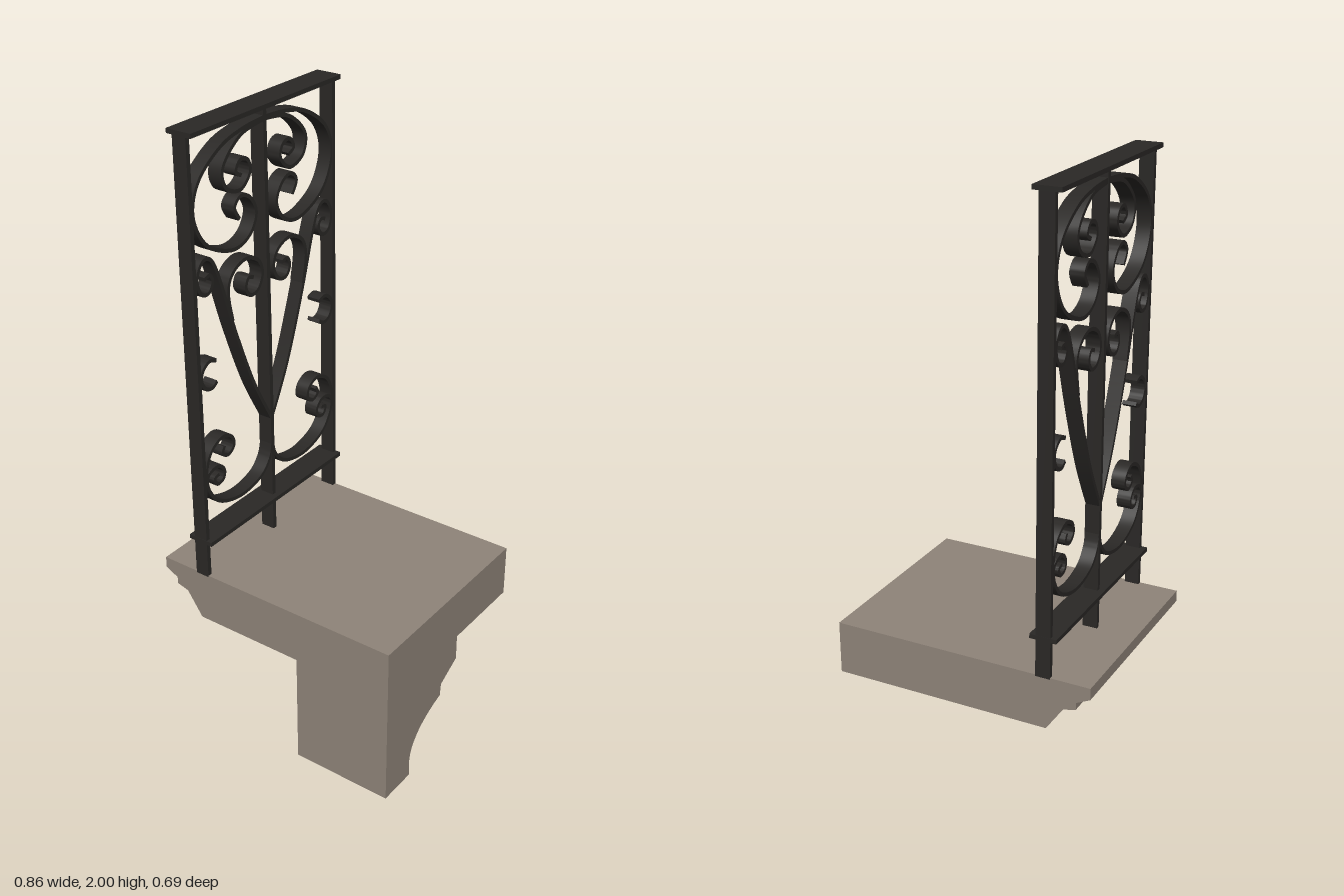
import * as THREE from 'three';
import { toCreasedNormals } from 'three/addons/utils/BufferGeometryUtils.js';

const stone = new THREE.MeshStandardMaterial({ color: 0x8f8479 });
const iron = new THREE.MeshStandardMaterial({ color: 0x2a2826 });
const RAIL_X = -0.278; // plane of the railing

const toVectors = (points) => points.map(([a, b]) => new THREE.Vector2(a, b));

function extrude(shape, depth) {
  const geometry = new THREE.ExtrudeGeometry(shape, { depth, bevelEnabled: false, curveSegments: 10 });
  return geometry.translate(0, 0, -depth / 2);
}

function addMesh(parent, name, geometry, material, x = 0, y = 0, z = 0) {
  const mesh = new THREE.Mesh(geometry, material);
  mesh.name = name;
  mesh.position.set(x, y, z);
  parent.add(mesh);
  return mesh;
}

// Flat iron strip bent along a smooth curve; points are [distance from centre bar, height]
function stripGeometry(points, side) {
  const half = 0.006;
  const curve = new THREE.SplineCurve(toVectors(points.map(([a, y]) => [a * side, y])));
  const count = points.length * 6;
  const outer = [], inner = [];
  for (let i = 0; i <= count; i++) {
    const p = curve.getPoint(i / count);
    const t = curve.getTangent(i / count);
    outer.push(new THREE.Vector2(p.x - t.y * half, p.y + t.x * half));
    inner.unshift(new THREE.Vector2(p.x + t.y * half, p.y - t.x * half));
  }
  const geometry = extrude(new THREE.Shape([...outer, ...inner]), 0.046);
  return toCreasedNormals(geometry.rotateY(Math.PI / 2), 0.7);
}

const scrolls = {
  largeUpperScroll: [[0, 1.955], [0.1, 1.947], [0.2, 1.92], [0.295, 1.85], [0.325, 1.755], [0.275, 1.655],
    [0.165, 1.603], [0.085, 1.62], [0.048, 1.68], [0.074, 1.735], [0.117, 1.753], [0.146, 1.725], [0.125, 1.685]],
  innerUpperScroll: [[0, 1.95], [0.11, 1.93], [0.19, 1.86], [0.18, 1.795], [0.117, 1.772], [0.072, 1.81],
    [0.08, 1.85], [0.115, 1.86], [0.135, 1.83], [0.11, 1.813]],
  vStem: [[0, 0.975], [0.085, 1.14], [0.165, 1.35], [0.225, 1.535], [0.26, 1.605], [0.297, 1.61],
    [0.322, 1.565], [0.308, 1.517], [0.275, 1.507], [0.255, 1.535], [0.267, 1.56], [0.29, 1.555]],
  middleScroll: [[0.172, 1.38], [0.188, 1.475], [0.165, 1.53], [0.106, 1.555], [0.048, 1.533], [0.027, 1.485],
    [0.048, 1.44], [0.085, 1.432], [0.106, 1.46], [0.095, 1.49], [0.07, 1.485]],
  smallHook: [[0.255, 1.285], [0.287, 1.293], [0.316, 1.273], [0.324, 1.243], [0.308, 1.212], [0.278, 1.202],
    [0.255, 1.215]],
  lowerScroll: [[0, 0.89], [0.015, 0.835], [0.065, 0.788], [0.165, 0.77], [0.265, 0.8], [0.316, 0.865],
    [0.322, 0.93], [0.297, 0.99], [0.244, 1.018], [0.2, 1.0], [0.19, 0.965], [0.217, 0.945], [0.244, 0.96],
    [0.235, 0.982]],
  lowerCurl: [[0.316, 0.865], [0.322, 0.9], [0.302, 0.923], [0.265, 0.926], [0.24, 0.9], [0.246, 0.872],
    [0.274, 0.866], [0.287, 0.89], [0.265, 0.897]],
};

function createRailing() {
  const railing = new THREE.Group();
  railing.name = 'railing';
  railing.position.x = RAIL_X;

  // Upright bars
  for (const [name, z] of [['frontPost', 0.334], ['centreBar', 0], ['backPost', -0.334]]) {
    addMesh(railing, name, new THREE.BoxGeometry(0.048, 1.44, 0.015), iron, 0, 1.275, z);
  }
  // Wide flat rails
  for (const [name, y] of [['topRail', 1.993], ['bottomRail', 0.685]]) {
    addMesh(railing, name, new THREE.BoxGeometry(0.087, 0.014, 0.685), iron, 0, y, 0);
  }
  // Mirrored scrollwork
  for (const [name, points] of Object.entries(scrolls)) {
    for (const side of [-1, 1]) {
      addMesh(railing, name + (side < 0 ? 'Front' : 'Back'), stripGeometry(points, side), iron);
    }
  }
  return railing;
}

export function createModel() {
  const model = new THREE.Group();
  model.name = 'balconyRailingOnBracket';

  // Ledge with a moulded edge along its -x side
  const ledge = new THREE.Shape(toVectors([[0.43, 0.385], [0.43, 0.56], [-0.432, 0.56], [-0.432, 0.522],
    [-0.387, 0.5], [-0.387, 0.477], [-0.345, 0.465], [-0.29, 0.385]]));
  addMesh(model, 'ledge', extrude(ledge, 0.682), stone);

  // Bracket profile, drawn in -z and y, with a hollow curve on its back
  const profile = new THREE.Shape();
  profile.moveTo(-0.341, 0);
  profile.lineTo(-0.21, 0);
  profile.lineTo(-0.21, 0.065);
  profile.bezierCurveTo(-0.2, 0.13, -0.14, 0.18, -0.04, 0.208);
  profile.lineTo(-0.036, 0.25);
  profile.lineTo(0.05, 0.298);
  profile.lineTo(0.05, 0.385);
  profile.lineTo(-0.341, 0.385);
  profile.closePath();
  const bracket = toCreasedNormals(extrude(profile, 0.34).rotateY(Math.PI / 2), 0.4);
  addMesh(model, 'bracket', bracket, stone, 0.26);

  model.add(createRailing());
  return model;
}
